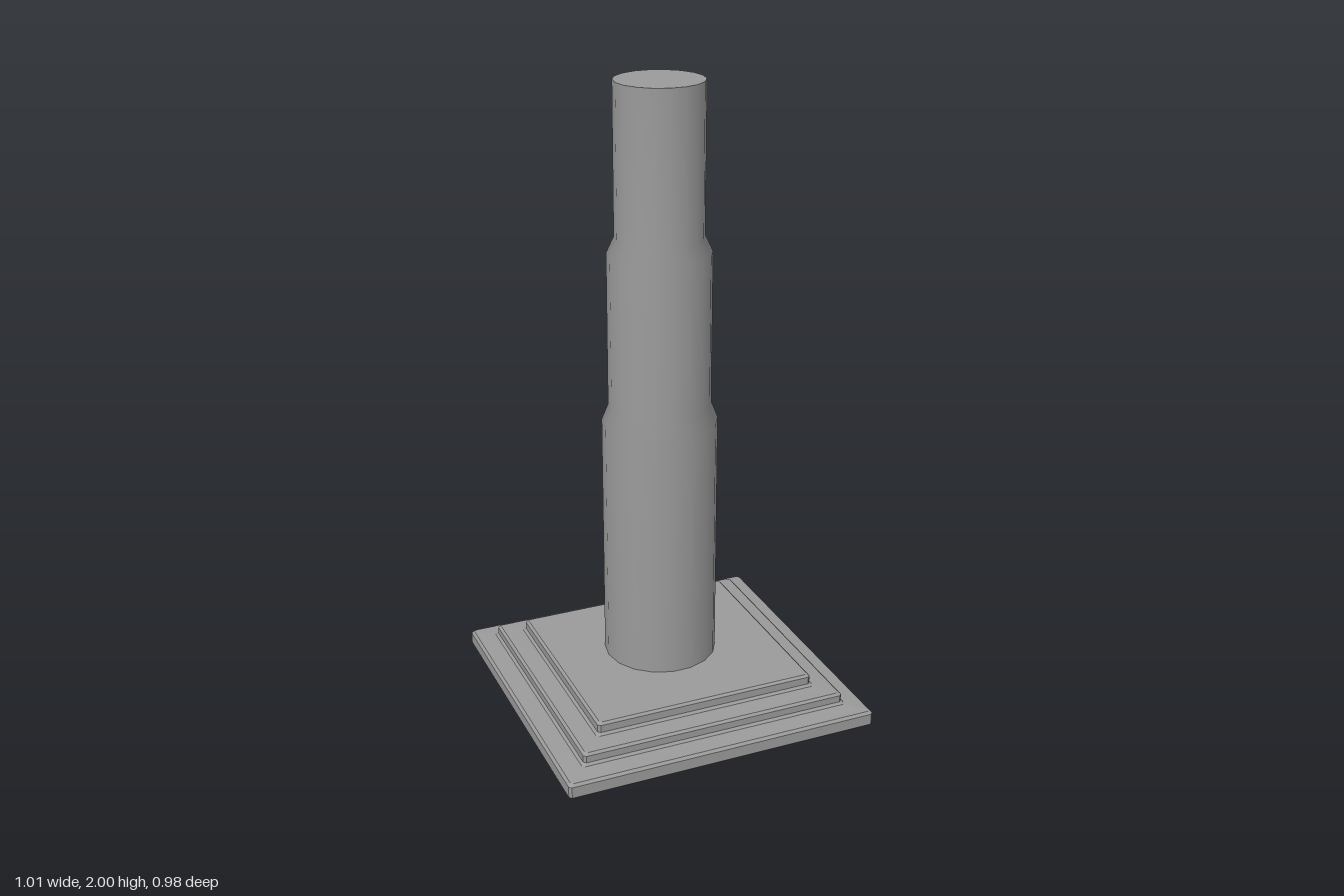
import * as THREE from 'three';
import { toCreasedNormals } from 'three/addons/utils/BufferGeometryUtils.js';

const material = new THREE.MeshStandardMaterial({ color: 0x9a9a9a });

// Rectangular moulding: each profile entry is [inset from the outer edge, height].
function moulding(halfX, halfZ, profile, chamfer) {
  const pos = [], idx = [], n = 8;
  for (const [inset, y] of profile) {
    const a = halfX - inset, b = halfZ - inset, c = chamfer;
    // Counter-clockwise from above, with clipped corners
    const ring = [
      [a, b - c], [a, -b + c], [a - c, -b], [-a + c, -b],
      [-a, -b + c], [-a, b - c], [-a + c, b], [a - c, b],
    ];
    for (const [x, z] of ring) pos.push(x, y, z);
  }
  const last = (profile.length - 1) * n;
  const bottom = pos.length / 3, top = bottom + 1;
  pos.push(0, profile[0][1], 0, 0, profile[profile.length - 1][1], 0);
  for (let i = 0; i < n; i++) {
    const j = (i + 1) % n;
    for (let r = 0; r < last; r += n) {
      idx.push(r + i, r + j, r + n + j, r + i, r + n + j, r + n + i);
    }
    idx.push(bottom, j, i, top, last + i, last + j);
  }
  const g = new THREE.BufferGeometry();
  g.setAttribute('position', new THREE.Float32BufferAttribute(pos, 3));
  g.setIndex(idx);
  return toCreasedNormals(g, 0.45);
}

export function createModel() {
  const model = new THREE.Group();

  // Three-tiered plinth with softened lips and shallow sloping ledges
  const base = new THREE.Mesh(moulding(0.504, 0.488, [
    [0.008, 0.028], [0, 0.036], [0, 0.072], [0.008, 0.08],
    [0.065, 0.086], [0.073, 0.093], [0.073, 0.115], [0.081, 0.122],
    [0.139, 0.127], [0.147, 0.134], [0.147, 0.158], [0.155, 0.165],
  ], 0.008), material);
  base.name = 'steppedBase';
  model.add(base);

  // Stepped post, passing through the plinth to the ground
  const post = new THREE.Group();
  post.name = 'steppedPost';
  post.position.set(-0.004, 0, -0.021);
  model.add(post);

  const sides = 18;
  const profile = [
    [0.178, 0], [0.178, 0.96], [0.158, 1.01],
    [0.158, 1.49], [0.135, 1.54], [0.135, 2],
  ].map(([r, y]) => new THREE.Vector2(r, y));
  const shaft = new THREE.Mesh(new THREE.LatheGeometry(profile, sides, Math.PI / 2), material);
  shaft.name = 'postShaft';
  post.add(shaft);

  // Flat ends of the post
  for (const [name, r, y, tilt] of [
    ['postTop', 0.135, 2, -Math.PI / 2],
    ['postFoot', 0.178, 0, Math.PI / 2],
  ]) {
    const cap = new THREE.Mesh(new THREE.CircleGeometry(r, sides), material);
    cap.name = name;
    cap.rotation.x = tilt;
    cap.position.y = y;
    post.add(cap);
  }

  return model;
}
